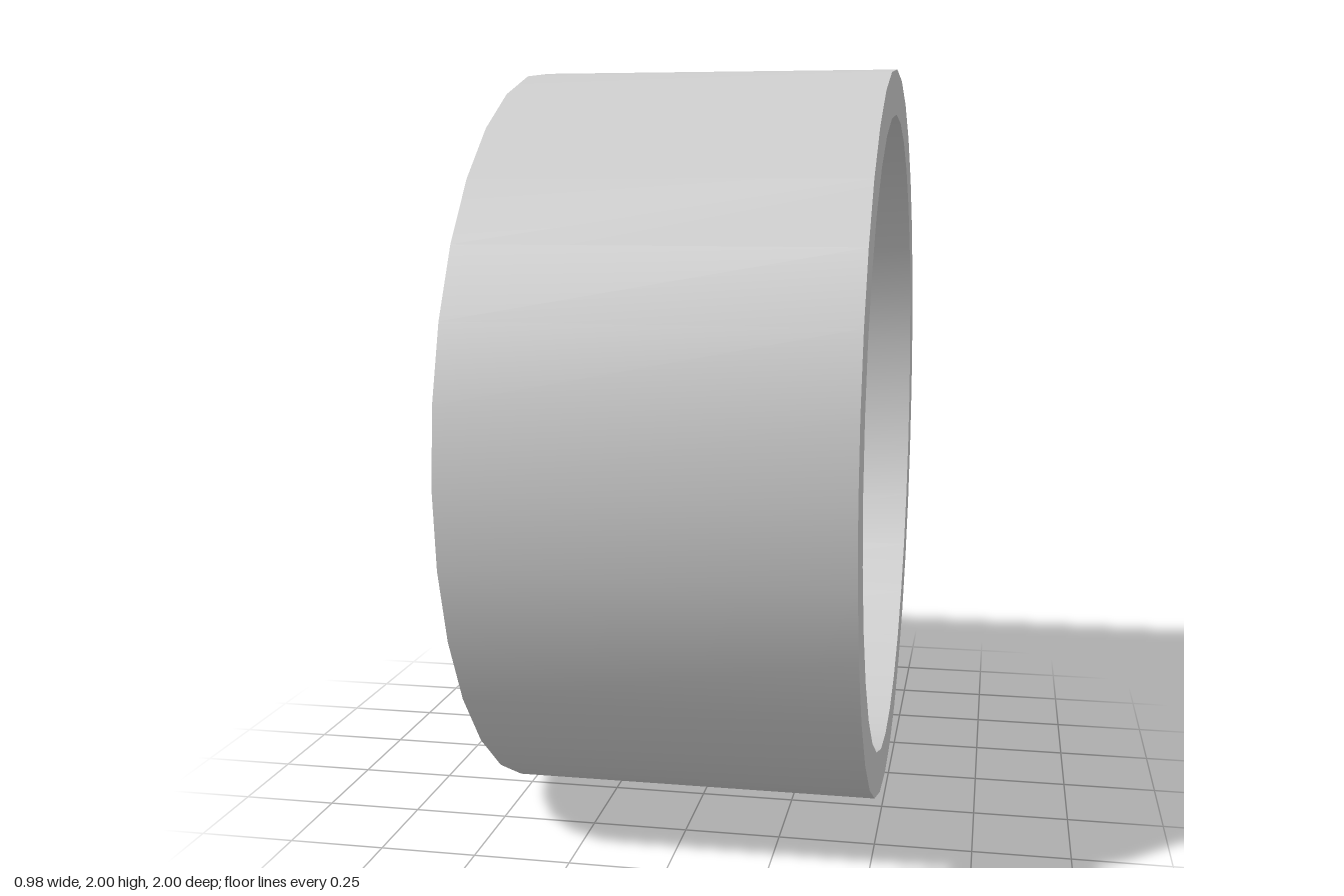
import * as THREE from 'three';
import { toCreasedNormals } from 'three/addons/utils/BufferGeometryUtils.js';

const SIDES = 32;
const PAIRS = 5;

// Profile of [radius, x] points turned around the wheel axis (x)
function turned(points, crease = 0.5) {
  const profile = points.map(([r, x]) => new THREE.Vector2(r, x));
  const geometry = new THREE.LatheGeometry(profile, SIDES);
  geometry.rotateZ(-Math.PI / 2);
  return toCreasedNormals(geometry, crease);
}

// Curved spoke: a rounded bar swept from the hub out to the rim
function spokeGeometry(side) {
  const w = 0.033, d = 0.045, c = 0.018;
  const section = new THREE.Shape();
  section.moveTo(-w + c, -d);
  section.lineTo(w - c, -d);
  section.quadraticCurveTo(w, -d, w, -d + c);
  section.lineTo(w, d);
  section.lineTo(-w, d);
  section.lineTo(-w, -d + c);
  section.quadraticCurveTo(-w, -d, -w + c, -d);
  const geometry = new THREE.ExtrudeGeometry(section, { depth: 1, steps: 14, bevelEnabled: false, curveSegments: 4 });
  const p = geometry.attributes.position;
  for (let i = 0; i < p.count; i++) {
    const u = p.getX(i), v = p.getY(i), t = p.getZ(i);
    const x = -0.17 - 0.25 * t + 0.045 * t * t;
    const radius = 0.2 + 0.69 * t;
    const offset = side * (0.065 + 0.1 * Math.pow(t, 0.9));
    p.setXYZ(i, x + v, radius, offset + u);
  }
  geometry.computeVertexNormals();
  return toCreasedNormals(geometry, 0.6);
}

// Lobed hub plate with a bolt hole in line with each spoke pair
function hubGeometry() {
  const points = [];
  for (let i = 0; i < 60; i++) {
    const a = (i / 60) * Math.PI * 2;
    const r = 0.255 + 0.025 * Math.cos(PAIRS * a);
    points.push(new THREE.Vector2(-r * Math.sin(a), r * Math.cos(a)));
  }
  const shape = new THREE.Shape(points);
  for (let k = 0; k < PAIRS; k++) {
    const a = (k / PAIRS) * Math.PI * 2;
    const hole = new THREE.Path();
    hole.absarc(0.205 * Math.sin(a), 0.205 * Math.cos(a), 0.042, 0, Math.PI * 2, true);
    shape.holes.push(hole);
  }
  const geometry = new THREE.ExtrudeGeometry(shape, {
    depth: 0.07, bevelThickness: 0.012, bevelSize: 0.012, bevelSegments: 2, curveSegments: 8,
  });
  geometry.rotateY(-Math.PI / 2);
  geometry.translate(-0.13, 0, 0);
  return toCreasedNormals(geometry, 0.7);
}

export function createModel() {
  const grey = new THREE.MeshStandardMaterial({ color: 0xcccccc });
  grey.name = 'grey';

  const wheel = new THREE.Group();
  wheel.name = 'wheel';
  wheel.position.y = 1;
  const add = (name, geometry, parent = wheel) => {
    const mesh = new THREE.Mesh(geometry, grey);
    mesh.name = name;
    parent.add(mesh);
    return mesh;
  };

  // Barrel: thick wall, thin outer lip stepping down to the spoke ledge
  add('barrel', turned([
    [0.97, -0.49], [1, -0.49], [1, 0.49], [0.88, 0.49], [0.88, -0.365],
    [0.91, -0.365], [0.92, -0.39], [0.955, -0.42], [0.97, -0.45], [0.97, -0.49],
  ]));

  // Brake disc with a raised centre drum
  add('brakeDisc', turned([
    [0, -0.12], [0.34, -0.12], [0.37, -0.09], [0.38, 0.05], [0.72, 0.05], [0.72, 0.11], [0, 0.11],
  ]));

  // Hub and domed centre cap
  add('hub', hubGeometry());
  add('centreCap', turned([
    [0, -0.27], [0.08, -0.267], [0.105, -0.255], [0.115, -0.235], [0.115, -0.15], [0, -0.15],
  ], 0.8));

  // Five pairs of spokes
  const sides = [-1, 1].map(spokeGeometry);
  for (let k = 0; k < PAIRS; k++) {
    const pair = new THREE.Group();
    pair.name = 'spokePair';
    pair.rotation.x = (k / PAIRS) * Math.PI * 2;
    sides.forEach((geometry) => add('spoke', geometry, pair));
    wheel.add(pair);
  }

  const model = new THREE.Group();
  model.name = 'wheelModel';
  model.add(wheel);
  return model;
}
